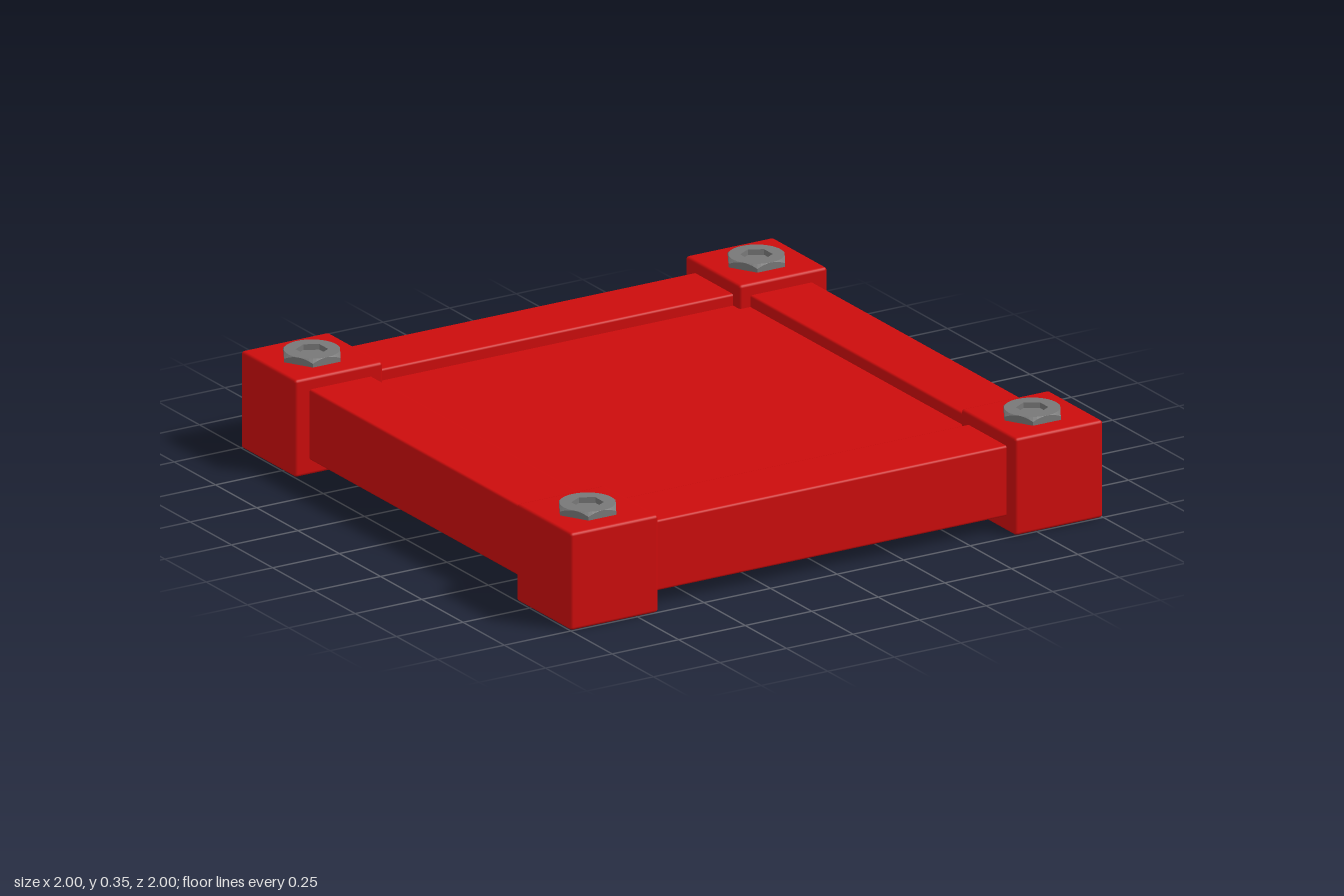
import * as THREE from 'three';
import { RoundedBoxGeometry } from 'three/addons/geometries/RoundedBoxGeometry.js';

const red = new THREE.MeshStandardMaterial({ color: 0xcc0c0c });
red.name = 'red paint';
const steel = new THREE.MeshStandardMaterial({ color: 0x787878 });
steel.name = 'grey steel';

// distance from the centre to the side of a hexagon at a given angle
function hexRadius(angle, apothem, turn = 0) {
  const step = Math.PI / 3;
  const a = (((angle + turn + step / 2) % step) + step) % step - step / 2;
  return apothem / Math.cos(a);
}

// chamfered hex head with a hex socket, made by reshaping the rings of a lathe
function boltGeometry() {
  const apothem = 0.09, top = 0.025, rows = 6, segments = 48;
  const rings = [
    a => [hexRadius(a, apothem), -0.01],
    a => [hexRadius(a, apothem), top - (hexRadius(a, apothem) - apothem) * 0.9],
    () => [apothem, top],
    a => [hexRadius(a, 0.045, Math.PI / 6), top],
    a => [hexRadius(a, 0.045, Math.PI / 6), 0.006],
    () => [0, 0.006],
  ];
  const points = rings.map((_, i) => new THREE.Vector2(1, i));
  const geometry = new THREE.LatheGeometry(points, segments);
  const p = geometry.attributes.position;
  for (let i = 0; i < p.count; i++) {
    const angle = Math.floor(i / rows) / segments * Math.PI * 2;
    const [r, y] = rings[i % rows](angle);
    p.setXYZ(i, r * Math.sin(angle), y, r * Math.cos(angle));
  }
  const flat = geometry.toNonIndexed();
  flat.computeVertexNormals();
  return flat;
}

export function createModel() {
  const model = new THREE.Group();
  model.name = 'squareFrame';

  const add = (name, geometry, material, x, y, z) => {
    const mesh = new THREE.Mesh(geometry, material);
    mesh.name = name;
    mesh.position.set(x, y, z);
    model.add(mesh);
    return mesh;
  };

  // corner blocks, each with a bolt on top
  const block = new RoundedBoxGeometry(0.33, 0.33, 0.33, 2, 0.01);
  const bolt = boltGeometry();
  for (const x of [-0.835, 0.835]) {
    for (const z of [-0.835, 0.835]) {
      add('cornerBlock', block, red, x, 0.165, z);
      add('cornerBolt', bolt, steel, x, 0.33, z);
    }
  }

  // rails between the blocks
  const rail = new RoundedBoxGeometry(1.42, 0.24, 0.236, 2, 0.008);
  for (const s of [-1, 1]) {
    add(s > 0 ? 'frontRail' : 'backRail', rail, red, 0, 0.17, s * 0.828);
    add(s > 0 ? 'leftRail' : 'rightRail', rail, red, s * 0.828, 0.17, 0).rotation.y = Math.PI / 2;
  }

  // thin panel set just below the rail tops
  add('panel', new THREE.BoxGeometry(1.46, 0.016, 1.46), red, 0, 0.243, 0);

  return model;
}
